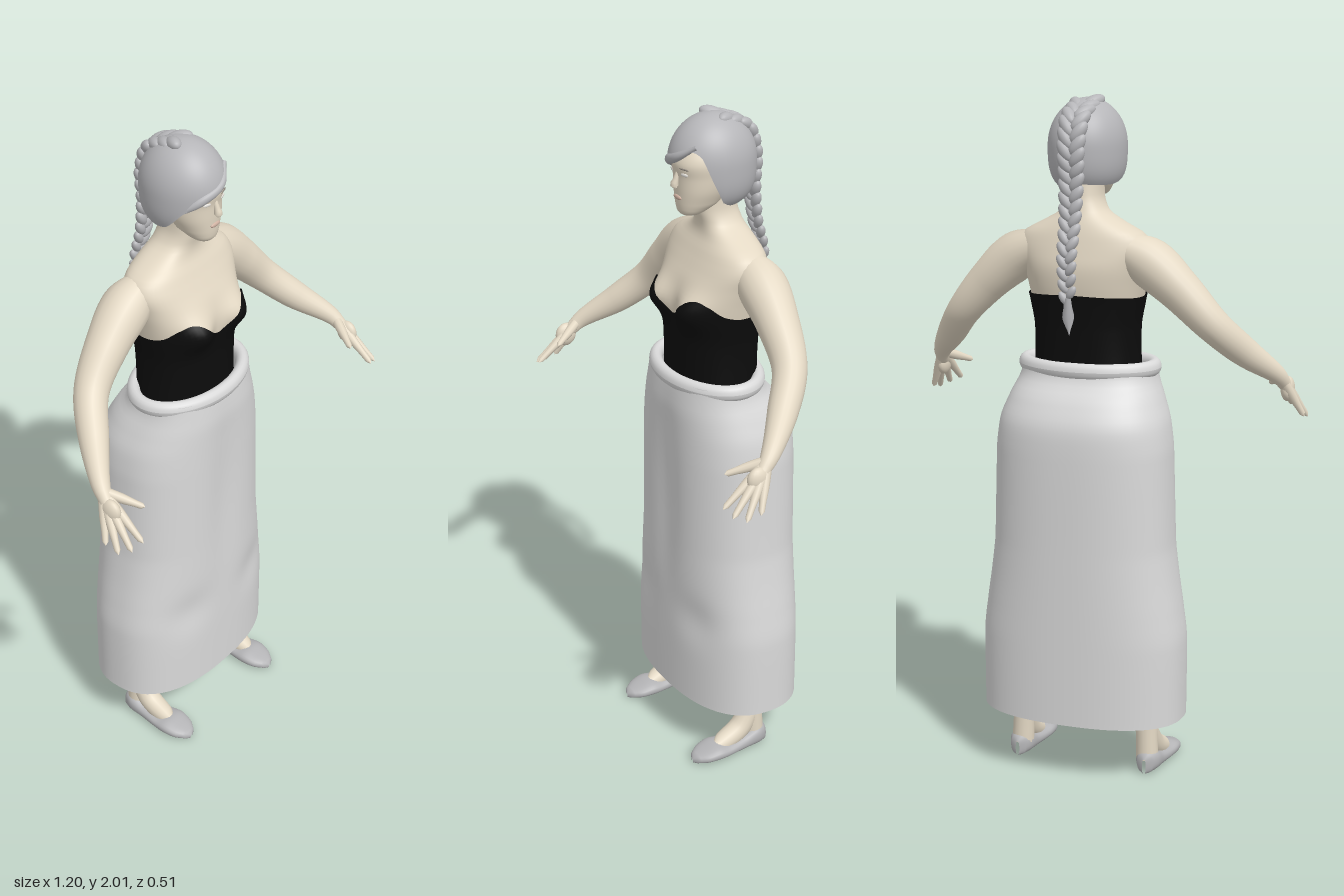
import * as THREE from 'three';

const mat = (name, color, side = THREE.FrontSide) => {
  const m = new THREE.MeshStandardMaterial({ color, side });
  m.name = name;
  return m;
};
const SKIN = mat('skin', 0xe3d8c4);
const BLACK = mat('black cloth', 0x0c0c0c, THREE.DoubleSide);
const CLOTH = mat('pale cloth', 0xd9d9d9, THREE.DoubleSide);
const HAIR = mat('grey hair', 0xb6b6b9, THREE.DoubleSide);
const SHOE = mat('grey leather', 0xb4b4b6);
const EYE = mat('eye white', 0xe9e6e0);
const BROW = mat('brow', 0x8a837b);
const LIP = mat('lip', 0xd0b3a3);

const lerp = THREE.MathUtils.lerp;
const gauss = (v, c, w) => Math.exp(-(((v - c) / w) ** 2));

// smooth lookup in a table whose first column is the key
function at(rows, key) {
  const n = rows.length;
  let k = 0;
  while (k < n - 2 && key > rows[k + 1][0]) k++;
  const t = THREE.MathUtils.clamp((key - rows[k][0]) / (rows[k + 1][0] - rows[k][0]), 0, 1);
  const r = (i) => rows[Math.min(n - 1, Math.max(0, i))];
  return rows[0].slice(1).map((_, c) => {
    const [p0, p1, p2, p3] = [k - 1, k, k + 1, k + 2].map((i) => r(i)[c + 1]);
    const m1 = (p2 - p0) / 2, m2 = (p3 - p1) / 2;
    return p1 + t * (m1 + t * (3 * (p2 - p1) - 2 * m1 - m2 + t * (2 * (p1 - p2) + m1 + m2)));
  });
}

// closed rings of points fn(angle, v), stacked along v
function rings(name, material, fn, nu = 48, nv = 40) {
  const pos = [], idx = [];
  for (let j = 0; j <= nv; j++)
    for (let i = 0; i < nu; i++) pos.push(...fn((i / nu) * Math.PI * 2, j / nv));
  for (let j = 0; j < nv; j++)
    for (let i = 0; i < nu; i++) {
      const a = j * nu + i, b = j * nu + ((i + 1) % nu);
      idx.push(a, b, b + nu, a, b + nu, a + nu);
    }
  const g = new THREE.BufferGeometry();
  g.setAttribute('position', new THREE.Float32BufferAttribute(pos, 3));
  g.setIndex(idx);
  g.computeVertexNormals();
  const m = new THREE.Mesh(g, material);
  m.name = name;
  return m;
}

// unit superellipse point, angle measured from the second axis
function squircle(a, n) {
  const s = Math.sin(a), c = Math.cos(a);
  const k = (Math.abs(s) ** n + Math.abs(c) ** n) ** (-1 / n);
  return [s * k, c * k];
}

// tapered tube through [x, y, z, radius] points
function limb(name, material, pts, seg = 24, sides = 16) {
  const curve = new THREE.CatmullRomCurve3(pts.map((p) => new THREE.Vector3(p[0], p[1], p[2])));
  const g = new THREE.TubeGeometry(curve, seg, 1, sides);
  const table = pts.map((p, i) => [i, p[3]]);
  const p = g.attributes.position, v = new THREE.Vector3();
  for (let i = 0; i <= seg; i++) {
    const c = curve.getPointAt(i / seg);
    const r = at(table, curve.getUtoTmapping(i / seg) * (pts.length - 1))[0];
    for (let j = 0; j <= sides; j++) {
      const id = i * (sides + 1) + j;
      v.fromBufferAttribute(p, id).sub(c).multiplyScalar(r).add(c);
      p.setXYZ(id, v.x, v.y, v.z);
    }
  }
  const m = new THREE.Mesh(g, material);
  m.name = name;
  return m;
}

function blob(name, material, position, scale) {
  const m = new THREE.Mesh(new THREE.SphereGeometry(1, 16, 12), material);
  m.name = name;
  m.position.set(...position);
  m.scale.set(...scale);
  return m;
}

// body tables: height, half width, front z, back z
const TORSO = [[1.1, 0.16, 0.07, -0.15], [1.25, 0.15, 0.07, -0.15], [1.35, 0.15, 0.072, -0.155],
  [1.42, 0.162, 0.076, -0.163], [1.48, 0.174, 0.074, -0.173], [1.53, 0.186, 0.06, -0.175],
  [1.58, 0.198, 0.035, -0.165], [1.62, 0.18, 0.015, -0.155], [1.65, 0.125, 0, -0.145],
  [1.68, 0.072, -0.003, -0.132], [1.72, 0.05, 0.005, -0.12], [1.8, 0.048, 0.01, -0.11]];
const HEAD = [[1.714, 0.004, 0.035, 0.02], [1.717, 0.025, 0.052, 0], [1.728, 0.04, 0.062, -0.02],
  [1.75, 0.055, 0.066, -0.06], [1.79, 0.071, 0.068, -0.09], [1.83, 0.079, 0.069, -0.12],
  [1.88, 0.082, 0.072, -0.14], [1.95, 0.055, 0.03, -0.11]];
const SKIRT = [[0.18, 0.31, 0.12, -0.255], [0.42, 0.31, 0.12, -0.255], [0.5, 0.3, 0.12, -0.255],
  [0.6, 0.285, 0.12, -0.255], [0.7, 0.272, 0.12, -0.255], [1, 0.262, 0.12, -0.255],
  [1.08, 0.25, 0.12, -0.247], [1.15, 0.225, 0.12, -0.212], [1.2, 0.205, 0.115, -0.17],
  [1.24, 0.2, 0.11, -0.162]];
// edge heights by angle from the front, in degrees
const NECKLINE = [[0, 1.425], [14, 1.45], [30, 1.495], [45, 1.488], [65, 1.455], [90, 1.44], [180, 1.45]];
const HAIRLINE = [[-180, 1.765], [-110, 1.76], [-80, 1.775], [-55, 1.83], [-25, 1.865], [0, 1.885],
  [30, 1.915], [50, 1.9], [65, 1.83], [80, 1.765], [110, 1.745], [180, 1.765]];
// shoe: z, half width, height
const SHOE_ROWS = [[-0.116, 0.006, 0.045], [-0.112, 0.022, 0.06], [-0.08, 0.037, 0.068], [-0.03, 0.039, 0.048],
  [0.03, 0.046, 0.04], [0.07, 0.05, 0.044], [0.11, 0.042, 0.034], [0.138, 0.022, 0.024], [0.146, 0.003, 0.012]];

const degrees = (a) => ((a * 180) / Math.PI + 180) % 360 - 180;

function section(table, n, a, y, grow = 0) {
  const [w, f, b] = at(table, y);
  const [s, c] = squircle(a, n);
  return [(w + grow) * s, y, (f + b) / 2 + ((f - b) / 2 + grow) * c];
}

function bodyPoint(a, y, grow) {
  const p = section(TORSO, 2.4, a, y, grow);
  p[2] += 0.042 * gauss(Math.abs(p[0]), 0.09, 0.055) * gauss(y, 1.455, 0.05) * Math.sqrt(Math.max(0, Math.cos(a)));
  return p;
}

function faceZ(x, y) {
  const [w, f, b] = at(HEAD, y);
  return (f + b) / 2 + ((f - b) / 2) * (1 - (Math.abs(x) / w) ** 2.2) ** (1 / 2.2);
}

function makeHead() {
  const g = new THREE.Group();
  g.name = 'head';
  g.add(rings('face', SKIN, (a, v) => section(HEAD, 2.2, a, lerp(1.714, 1.95, v))));
  g.add(limb('nose', SKIN, [[0, 1.855, 0.062, 0.006], [0, 1.825, 0.072, 0.009], [0, 1.808, 0.077, 0.012], [0, 1.799, 0.07, 0.001]], 10, 12));
  for (const s of [-1, 1]) {
    const eye = blob('eye', EYE, [s * 0.033, 1.845, faceZ(0.033, 1.845)], [0.013, 0.005, 0.003]);
    const brow = blob('brow', BROW, [s * 0.034, 1.862, faceZ(0.034, 1.862)], [0.017, 0.0025, 0.003]);
    eye.rotation.y = brow.rotation.y = s * 0.3;
    g.add(eye, brow);
  }
  g.add(blob('lips', LIP, [0, 1.772, faceZ(0, 1.772)], [0.02, 0.007, 0.005]));
  return g;
}

function makeHair() {
  const g = new THREE.Group();
  g.name = 'hair';
  g.add(rings('hairCap', HAIR, (a, v) => {
    const low = Math.asin((at(HAIRLINE, degrees(a))[0] - 1.865) / 0.135);
    const lat = lerp(low, Math.PI / 2, v), t = Math.sin(lat);
    const r = t > 0 ? Math.cos(lat) : (1 + t ** 3) ** (1 / 3);
    return [0.112 * r * Math.sin(a), 1.865 + 0.135 * t, -0.045 + 0.13 * r * Math.cos(a)];
  }, 72, 24));
  g.add(limb('sweptFringe', HAIR, [[0.065, 1.93, 0.045, 0.006], [0.01, 1.893, 0.075, 0.013],
    [-0.055, 1.865, 0.058, 0.015], [-0.095, 1.82, 0.005, 0.006]]));
  // plait of paired strands that lean in towards the middle
  const path = new THREE.CatmullRomCurve3([[1.985, -0.06], [1.945, -0.15], [1.87, -0.178], [1.77, -0.178],
    [1.66, -0.19], [1.56, -0.215], [1.43, -0.207]].map(([y, z]) => new THREE.Vector3(0, y, z)));
  const up = new THREE.Vector3(0, 1, 0);
  for (let i = 0; i < 18; i++)
    for (const s of [-1, 1]) {
      const t = (i + (s > 0 ? 0.5 : 0)) / 18;
      const w = lerp(0.027, 0.014, t), p = path.getPointAt(t);
      const strand = blob('braidStrand', HAIR, [s * w * 0.8, p.y, p.z], [w * 0.8, w * 1.5, w * 0.75]);
      const dir = path.getTangentAt(t).add(new THREE.Vector3(-s * 0.65, 0, 0)).normalize();
      strand.quaternion.setFromUnitVectors(up, dir);
      g.add(strand);
    }
  g.add(limb('braidTail', HAIR, [[0, 1.45, -0.208, 0.01], [0, 1.42, -0.205, 0.013], [0, 1.39, -0.202, 0.017], [0, 1.34, -0.195, 0.001]], 12, 10));
  return g;
}

function makeArm(s) {
  const g = new THREE.Group();
  g.name = s > 0 ? 'leftArm' : 'rightArm';
  const side = (pts) => pts.map(([x, ...rest]) => [s * x, ...rest]);
  g.add(limb('arm', SKIN, side([[0.11, 1.585, -0.085, 0.045], [0.2, 1.545, -0.085, 0.071], [0.29, 1.47, -0.08, 0.062],
    [0.385, 1.37, -0.06, 0.05], [0.46, 1.285, 0.01, 0.043], [0.535, 1.205, 0.1, 0.026], [0.547, 1.175, 0.13, 0.02]]), 40, 20));
  g.add(blob('palm', SKIN, [s * 0.552, 1.158, 0.147], [0.02, 0.037, 0.034]));
  const wrist = [0.54, 1.2, 0.11];
  const tips = [[0.54, 1.09, 0.25], [0.575, 1.075, 0.24], [0.597, 1.065, 0.21], [0.598, 1.075, 0.165], [0.483, 1.16, 0.21]];
  for (const tip of tips) {
    const along = (t, r) => [...wrist.map((w, i) => lerp(w, tip[i], t)), r];
    g.add(limb('finger', SKIN, side([along(0, 0.015), along(0.45, 0.014), along(0.75, 0.01), along(0.95, 0.008), along(1, 0.001)]), 14, 10));
  }
  return g;
}

function makeLeg(s) {
  const g = new THREE.Group();
  g.name = s > 0 ? 'leftLeg' : 'rightLeg';
  g.add(limb('leg', SKIN, [[s * 0.12, 0.95, -0.08, 0.1], [s * 0.16, 0.55, -0.06, 0.075], [s * 0.19, 0.3, -0.075, 0.058],
    [s * 0.198, 0.14, -0.073, 0.034], [s * 0.202, 0.04, -0.075, 0.034]]));
  g.add(limb('instep', SKIN, [[s * 0.2, 0.13, -0.07, 0.03], [s * 0.203, 0.07, -0.025, 0.034], [s * 0.205, 0.037, 0.04, 0.029], [s * 0.205, 0.025, 0.075, 0.005]]));
  g.add(rings('shoe', SHOE, (a, v) => {
    const z = lerp(-0.116, 0.146, v), [w, h] = at(SHOE_ROWS, z);
    const [sy, cx] = squircle(a, 2.5);
    return [s * 0.205 + w * cx, 0.002 + h / 2 + (h / 2) * sy, z];
  }, 28, 32));
  return g;
}

export function createModel() {
  const model = new THREE.Group();
  model.name = 'womanInLongSkirt';
  model.add(rings('torso', SKIN, (a, v) => bodyPoint(a, lerp(1.1, 1.8, v), 0), 64, 60));
  model.add(rings('bodice', BLACK, (a, v) => bodyPoint(a, lerp(1.1, at(NECKLINE, Math.abs(degrees(a)))[0], v), 0.006), 96, 40));
  // long skirt, dipping between the legs and swelling at the knees
  model.add(rings('skirt', CLOTH, (a, v) => {
    const p = section(SKIRT, 2.4, a, lerp(0.18, 1.24, v));
    const front = Math.max(0, Math.cos(a)), x = Math.abs(p[0]);
    p[2] -= front * (0.014 * gauss(x, 0, 0.07) * gauss(p[1], 0.85, 0.3) + 0.012 * gauss(x, 0.16, 0.08) * gauss(p[1], 0.47, 0.07));
    return p;
  }, 72, 60));
  model.add(rings('waistband', CLOTH, (a, v) => {
    const t = v * Math.PI * 2, r = 0.02 * Math.cos(t);
    return [(0.196 + r) * Math.sin(a), 1.228 + 0.024 * Math.sin(t), -0.028 + (0.128 + r) * Math.cos(a)];
  }, 64, 16));
  model.add(makeHead(), makeHair());
  for (const s of [-1, 1]) model.add(makeArm(s), makeLeg(s));
  return model;
}
